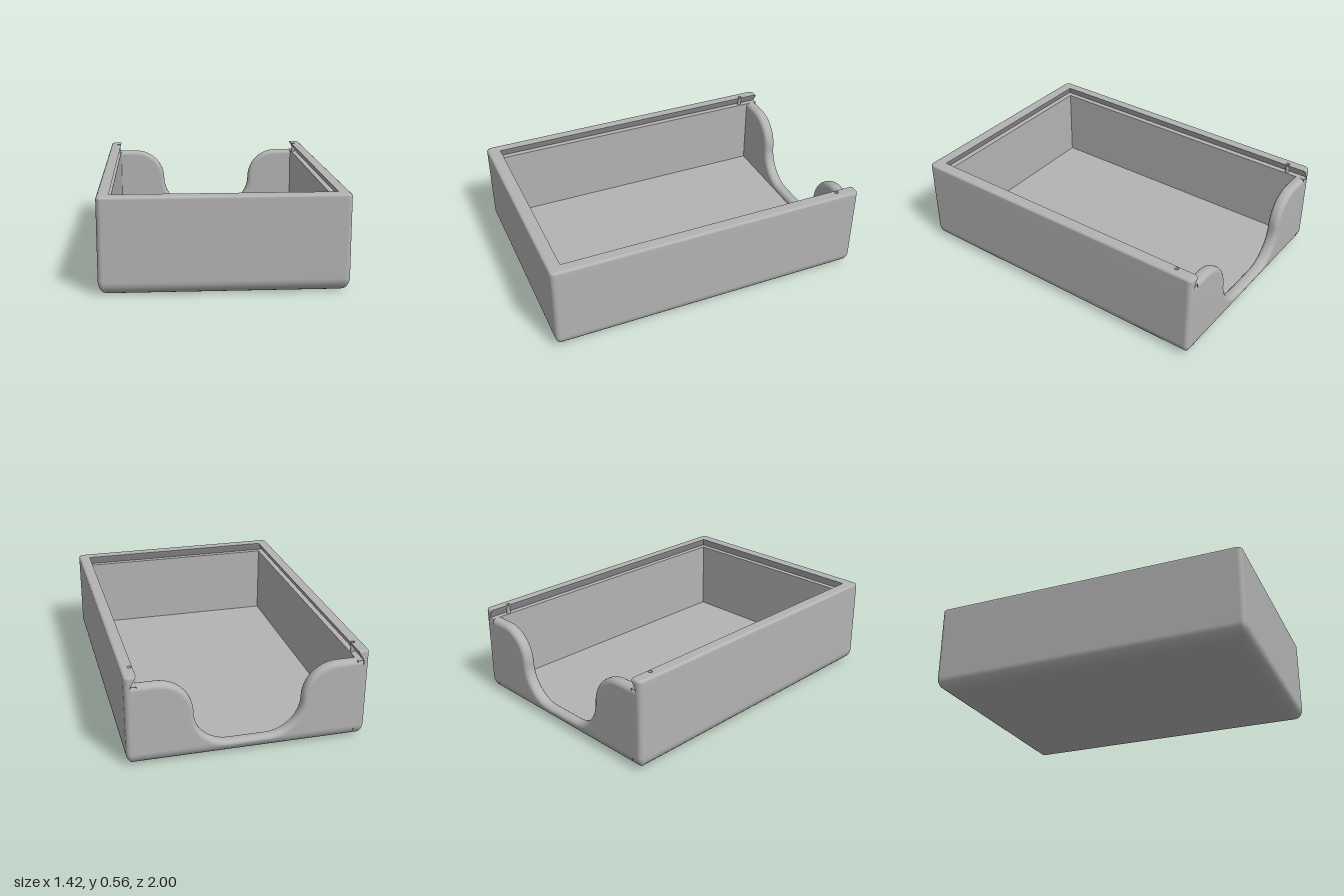
import * as THREE from 'three';

// Overall half sizes, heights and radii
const HX = 0.71, HZ = 1, TOP = 0.565, LEDGE = 0.505, FLOOR = 0.05;
const FILLET = 0.08, CORNER = 0.03, EDGE = 0.015, RIM = 0.03;
const INX = 0.64, INZ = 0.925, GROOVE = 0.035;

const body = new THREE.MeshStandardMaterial({ color: 0xb3b3b3, side: THREE.DoubleSide });
body.name = 'grey';

// Skin a grid of points (rows of equal length)
function skin(rows, flip, flat) {
  const n = rows[0].length, index = [];
  for (let j = 0; j < rows.length - 1; j++) {
    for (let i = 0; i < n - 1; i++) {
      const a = j * n + i, b = a + 1, c = a + n, d = c + 1;
      if (flip) index.push(a, b, c, b, d, c);
      else index.push(a, c, b, b, c, d);
    }
  }
  let g = new THREE.BufferGeometry();
  g.setAttribute('position', new THREE.Float32BufferAttribute(rows.flat(2), 3));
  g.setIndex(index);
  if (flat) g = g.toNonIndexed();
  g.computeVertexNormals();
  return g;
}

// Outline from the back edge round the front and back again, open between -start and start
function outline(inset, y, start) {
  const r = Math.max(CORNER - inset, 0.002), X = HX - inset, Z = HZ - inset;
  const pts = [[start, y, -Z]];
  [[1, -1], [1, 1], [-1, 1], [-1, -1]].forEach(([sx, sz], q) => {
    for (let k = 0; k <= 6; k++) {
      const a = (q - 1 + k / 6) * Math.PI / 2;
      pts.push([sx * (X - r) + r * Math.cos(a), y, sz * (Z - r) + r * Math.sin(a)]);
    }
  });
  pts.push([-start, y, -Z]);
  return pts;
}

// How far the bottom fillet pulls the outside in at height y
const filletInset = y => y >= FILLET ? 0 : FILLET - Math.sqrt(Math.max(0, FILLET ** 2 - (FILLET - y) ** 2));

function outerShell() {
  const rows = [];
  for (let k = 0; k <= 8; k++) {
    const a = k / 8 * Math.PI / 2;
    rows.push(outline(FILLET * (1 - Math.sin(a)), FILLET * (1 - Math.cos(a)), 0.6));
  }
  rows.push(outline(0, 0.47, 0.6), outline(0, 0.47, INX + GROOVE), outline(0, LEDGE, INX + GROOVE));
  for (let k = 0; k <= 4; k++) {
    const a = k / 4 * Math.PI / 2;
    rows.push(outline(EDGE * (1 - Math.cos(a)), TOP - EDGE * (1 - Math.sin(a)), INX + 0.008 * (1 - k / 4)));
  }
  return skin(rows, false, false);
}

// Inner walls with the undercut lid groove on three sides
function innerWalls() {
  const profile = [[0, FLOOR], [0, LEDGE], [GROOVE, LEDGE], [0.008, TOP - EDGE], [0, TOP]];
  const rows = profile.map(([o, y]) => {
    const x = INX + o, z = INZ - 0.005 + o, back = y === TOP ? -HZ + EDGE : -HZ;
    return [[x, y, back], [x, y, z], [-x, y, z], [-x, y, back]];
  });
  return skin(rows, true, true);
}

// S-curved top line of the back wall: [x, y, normal x, normal y]
function scoopLine() {
  const R = 0.21, cy = LEDGE - R, N = 14;
  const half = [[INX + GROOVE, LEDGE, 0, 1], [0.6, LEDGE, 0, 1]];
  for (let k = 0; k <= N; k++) {
    const a = Math.PI / 2 * (1 + k / N), c = Math.cos(a), s = Math.sin(a);
    half.push([0.53 + R * c, cy + R * s, c, s]);
  }
  for (let k = 1; k <= N; k++) {
    const a = -Math.PI / 2 * k / N, c = Math.cos(a), s = Math.sin(a);
    half.push([0.11 + R * c, cy + R * s, -c, -s]);
  }
  return [...half, ...half.slice().reverse().map(([x, y, nx, ny]) => [-x, y, -nx, ny])];
}

// Back wall: rounded rim following the scoop, closed down to the base
function backWall() {
  const rows = scoopLine().map(([x, y, nx, ny]) => {
    const qx = x - nx * RIM, qy = y - ny * RIM;
    const row = [[qx, FLOOR, -INZ]];
    for (let side = 0; side < 2; side++) {
      for (let k = 0; k <= 6; k++) {
        const b = (side ? 6 - k : k) / 6 * Math.PI / 2;
        const drop = RIM * (1 - Math.sin(b)), off = RIM * (1 - Math.cos(b));
        const py = y - ny * drop;
        row.push([x - nx * drop, py, side ? -HZ + Math.max(off, filletInset(py)) : -INZ - off]);
      }
    }
    for (let k = 8; k >= 0; k--) {
      const py = Math.min(qy, FILLET * (1 - Math.cos(k / 8 * Math.PI / 2)));
      const inset = filletInset(py), limit = HX - inset;
      row.push([THREE.MathUtils.clamp(qx, -limit, limit), py, -HZ + inset]);
    }
    return row;
  });
  return skin(rows, true, false);
}

// Flat top of the rim with two small round holes
function rimTop() {
  const pts = outline(EDGE, 0, INX).map(([x, , z]) => new THREE.Vector2(x, -z));
  pts.push(new THREE.Vector2(-INX, -INZ + 0.005), new THREE.Vector2(INX, -INZ + 0.005));
  const shape = new THREE.Shape(pts);
  for (const s of [-1, 1]) {
    const hole = new THREE.Path();
    hole.absarc(s * 0.656, 0.87, 0.012, 0, Math.PI * 2);
    shape.holes.push(hole);
  }
  return new THREE.ShapeGeometry(shape, 10).rotateX(-Math.PI / 2).translate(0, TOP, 0);
}

export function createModel() {
  const model = new THREE.Group();
  model.name = 'openBox';
  const add = (name, geometry) => {
    const mesh = new THREE.Mesh(geometry, body);
    mesh.name = name;
    model.add(mesh);
    return mesh;
  };

  add('outerShell', outerShell());
  add('innerWalls', innerWalls());
  add('backWall', backWall());
  add('rimTop', rimTop());

  // Underside and inner floor
  add('underside', new THREE.PlaneGeometry(2 * (HX - FILLET), 2 * (HZ - FILLET)).rotateX(Math.PI / 2));
  add('floor', new THREE.PlaneGeometry(2 * INX, 2 * INZ).rotateX(-Math.PI / 2)).position.y = FLOOR;

  // Sleeves of the catch holes, down to the groove ledge
  for (const s of [-1, 1]) {
    const sleeve = add(s > 0 ? 'leftCatchHole' : 'rightCatchHole',
      new THREE.CylinderGeometry(0.012, 0.012, TOP - LEDGE, 20, 1, true));
    sleeve.position.set(s * 0.656, (TOP + LEDGE) / 2, -0.87);
  }
  return model;
}
